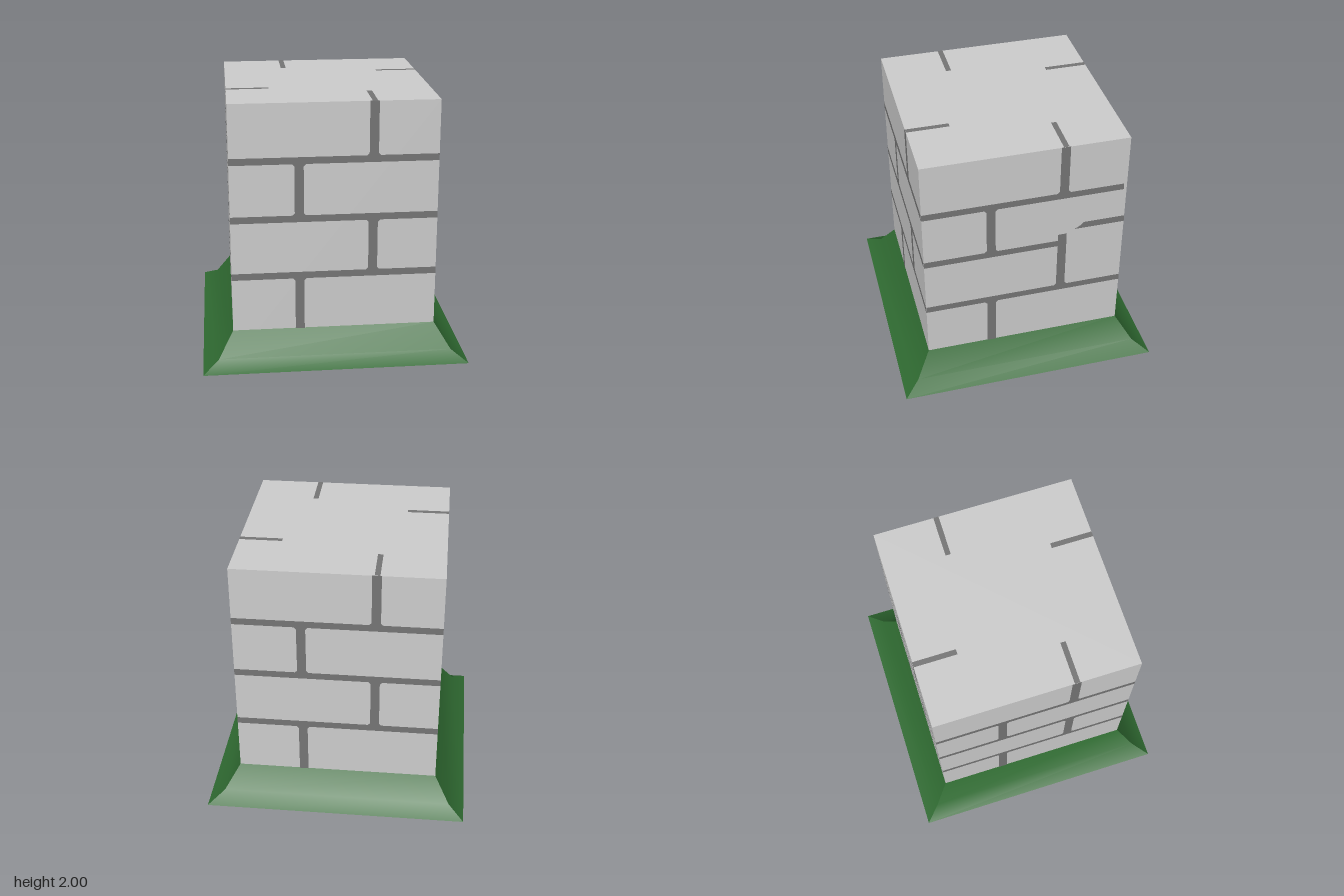
import * as THREE from 'three';

export function createModel() {
  const model = new THREE.Group();
  const material = (name, color) => {
    const m = new THREE.MeshStandardMaterial({ color });
    m.name = name;
    return m;
  };
  const stone = material('pale stone', 0xcccccc);
  const mortar = material('dark mortar', 0x757575);
  const grass = material('green grass', 0x2f6a31);
  const add = (parent, name, geometry, mat) => {
    const mesh = new THREE.Mesh(geometry, mat);
    mesh.name = name;
    parent.add(mesh);
    return mesh;
  };

  const H = 0.768, LIFT = 0.002;

  // Stone block and the square underside
  add(model, 'stoneBlock', new THREE.BoxGeometry(2 * H, 1.99, 2 * H).translate(0, 1.003, 0), stone);
  add(model, 'underside', new THREE.PlaneGeometry(2, 2).rotateX(Math.PI / 2), stone);

  // Joint outlines: plain horizontal courses and upright joints with flared ends
  const polygon = (points) => new THREE.ShapeGeometry(new THREE.Shape(points.map(([x, y]) => new THREE.Vector2(x, y))));
  const course = (x0, x1, y, slant = 0) => polygon([
    [x0, y - 0.026], [x1 - slant, y - 0.026], [x1, y + 0.026], [x0 + slant, y + 0.026],
  ]);
  const upright = (x, y0, y1, flareLow, flareHigh) => {
    const w = 0.034, f = 0.018, a = flareLow ? f : 0, b = flareHigh ? f : 0;
    return polygon([
      [x - w - a, y0], [x + w + a, y0], [x + w, y0 + f], [x + w, y1 - f],
      [x + w + b, y1], [x - w - b, y1], [x - w, y1 - f], [x - w, y0 + f],
    ]);
  };

  // Four walls share one brick pattern, turned about the block
  ['front', 'left', 'back', 'right'].forEach((side, i) => {
    const wall = new THREE.Group();
    wall.name = side + 'Joints';
    wall.rotation.y = i * Math.PI / 2;
    model.add(wall);
    const chipped = side === 'left';
    const joints = [
      upright(0.287, 1.595, 2, true, false),
      upright(-0.26, 1.15, 1.545, true, true),
      upright(0.287, 0.705, chipped ? 1.21 : 1.1, true, !chipped),
      upright(-0.26, 0.2, 0.655, false, true),
      course(-H, chipped ? 0.745 : H, 1.57),
      course(-H, chipped ? 0.26 : H, 1.126),
      course(-H, H, 0.68),
    ];
    // Stepped course beside the worn corner
    if (chipped) joints.push(polygon([
      [0.38, 1.24], [H, 1.24], [H, 1.294], [0.45, 1.294], [0.43, 1.27],
    ]));
    joints.forEach((g) => add(wall, 'mortarJoint', g.translate(0, 0, H + LIFT), mortar));

    // Short joint running in over the top
    add(wall, 'topJoint', new THREE.PlaneGeometry(0.04, 0.32).rotateX(-Math.PI / 2)
      .translate(0.29, 2, H - 0.16), mortar);

    // Mitred grass bank: straight sides, smooth along the profile
    const profile = [[1, 0], [0.882, 0.068], [0.768, 0.248]];
    const positions = [], index = [];
    profile.forEach(([r, y]) => positions.push(-r, y, r, r, y, r));
    for (let k = 0; k < profile.length - 1; k++) {
      const a = 2 * k;
      index.push(a, a + 1, a + 3, a, a + 3, a + 2);
    }
    const bank = new THREE.BufferGeometry();
    bank.setAttribute('position', new THREE.Float32BufferAttribute(positions, 3));
    bank.setIndex(index);
    bank.computeVertexNormals();
    add(wall, 'grassBank', bank, grass);
  });

  return model;
}
